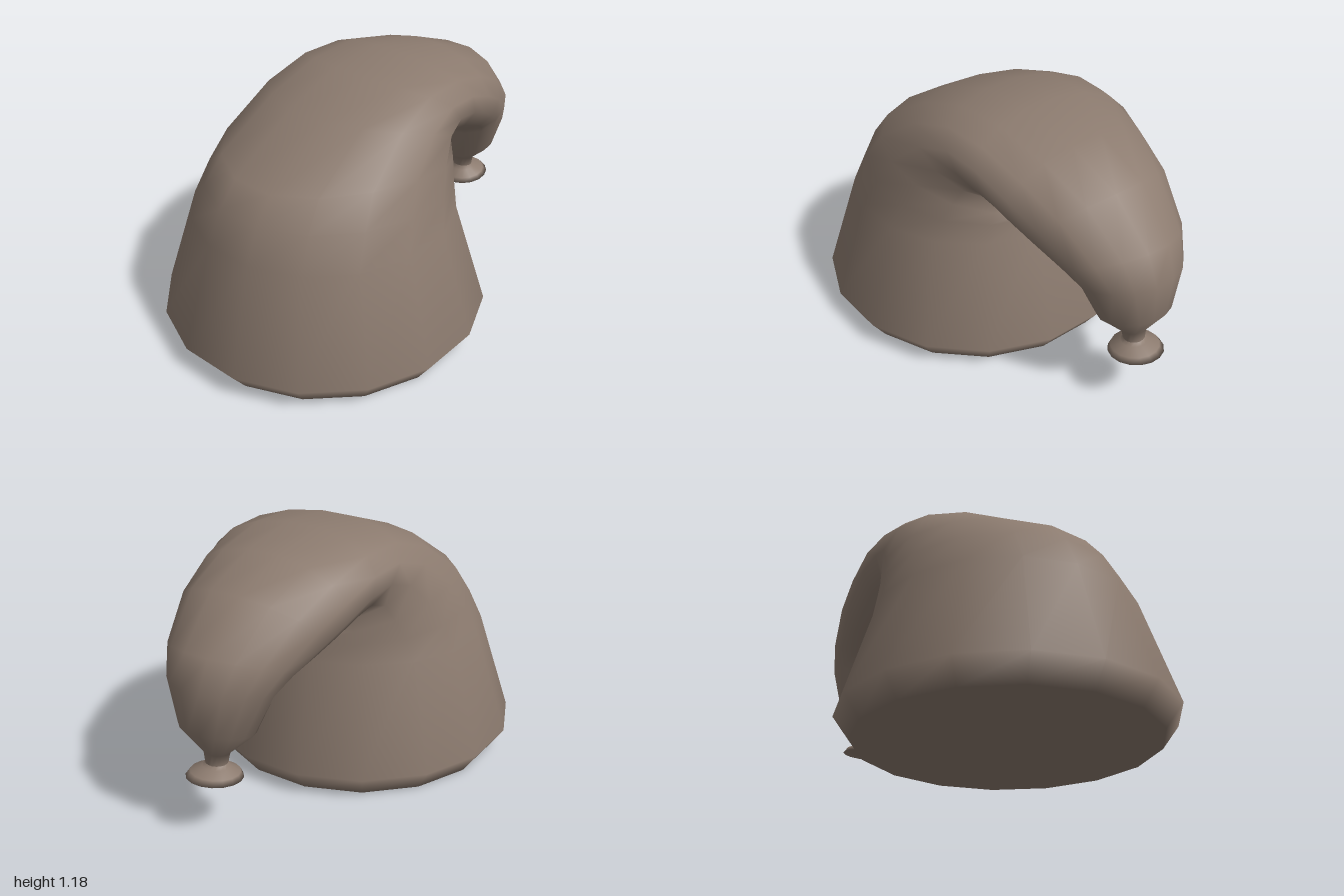
import * as THREE from 'three';

const SIDES = 16;

// Skin a chain of rings. Each ring: [outer z, outer y, inner z, inner y, half width, side z, side y];
// without the last two, the sides lie midway between the outer and inner points.
function loft(rings, capStart, capEnd) {
  const pos = [], idx = [];
  const fit = 1 / Math.cos(Math.PI / SIDES);
  for (const [fz, fy, bz, by, w, sz, sy] of rings) {
    const mz = (fz + bz) / 2, my = (fy + by) / 2;
    const lz = sz === undefined ? 0 : sz - mz, ly = sy === undefined ? 0 : sy - my;
    for (let j = 0; j < SIDES; j++) {
      const a = ((j + 0.5) / SIDES) * Math.PI * 2, c = Math.cos(a), s = Math.sin(a);
      pos.push(w * fit * s,
        my + (fy - by) / 2 * fit * c + ly * s * s,
        mz + (fz - bz) / 2 * fit * c + lz * s * s);
    }
  }
  for (let i = 0; i < rings.length - 1; i++) {
    for (let j = 0; j < SIDES; j++) {
      const k = (j + 1) % SIDES;
      const a = i * SIDES + j, b = i * SIDES + k;
      idx.push(a, b, b + SIDES, a, b + SIDES, a + SIDES);
    }
  }
  const cap = (r, flip) => {
    const [fz, fy, bz, by] = rings[r];
    const centre = pos.length / 3;
    pos.push(0, (fy + by) / 2, (fz + bz) / 2);
    for (let j = 0; j < SIDES; j++) {
      const a = r * SIDES + j, b = r * SIDES + (j + 1) % SIDES;
      if (flip) idx.push(centre, b, a); else idx.push(centre, a, b);
    }
  };
  if (capStart) cap(0, true);
  if (capEnd) cap(rings.length - 1, false);
  const g = new THREE.BufferGeometry();
  g.setAttribute('position', new THREE.Float32BufferAttribute(pos, 3));
  g.setIndex(idx);
  g.computeVertexNormals();
  return g;
}

export function createModel() {
  const group = new THREE.Group();
  const material = new THREE.MeshStandardMaterial({ color: 0x8c7b6f });
  const add = (name, geometry) => {
    const mesh = new THREE.Mesh(geometry, material);
    mesh.name = name;
    group.add(mesh);
  };

  // Wide sack that bends over backwards and tapers to a drooping end
  add('sackBody', loft([
    [0.92, 0, -0.41, 0, 0.67],
    [1.0, 0.105, -0.485, 0.105, 0.742],
    [0.85, 0.59, -0.335, 0.6, 0.59, 0.25, 0.59],
    [0.78, 0.74, -0.31, 0.68, 0.55, 0.19, 0.73],
    [0.69, 0.85, -0.30, 0.715, 0.51, 0.12, 0.86],
    [0.36, 1.05, -0.26, 0.745, 0.465, -0.01, 0.98],
    [0.07, 1.155, -0.27, 0.755, 0.435, -0.15, 1.02],
    [-0.21, 1.175, -0.335, 0.735, 0.42, -0.30, 1.0],
    [-0.50, 1.13, -0.43, 0.71, 0.39, -0.45, 0.93],
    [-0.76, 1.03, -0.53, 0.68, 0.35, -0.59, 0.85],
    [-0.95, 0.83, -0.60, 0.64, 0.29, -0.73, 0.74],
    [-1.0, 0.69, -0.64, 0.60, 0.24, -0.80, 0.65],
    [-0.99, 0.5, -0.69, 0.43, 0.165],
    [-0.90, 0.36, -0.80, 0.36, 0.06],
    [-0.90, 0.31, -0.81, 0.31, 0.05],
  ], true, false));

  // Pinched neck flaring into a small dished end
  add('flaredEnd', loft([
    [-0.90, 0.31, -0.81, 0.31, 0.05],
    [-0.915, 0.298, -0.80, 0.288, 0.06],
    [-0.97, 0.285, -0.76, 0.26, 0.105],
    [-0.993, 0.265, -0.75, 0.235, 0.12],
    [-0.95, 0.272, -0.79, 0.252, 0.08],
  ], false, true));

  return group;
}
